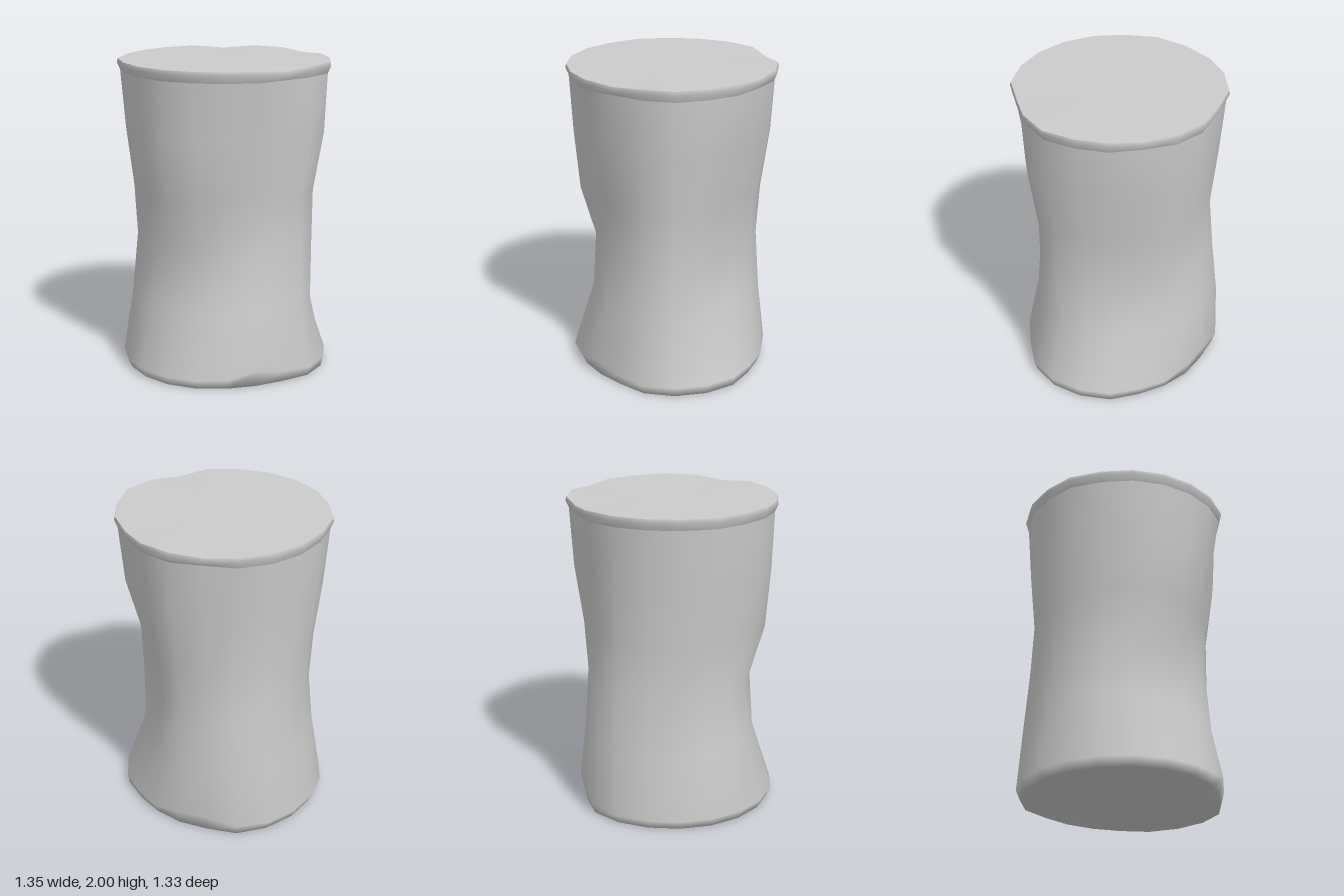
import * as THREE from 'three';

const SIDES = 20;
const material = new THREE.MeshStandardMaterial({ color: 0xcccccc });

// Radii at eight compass directions, from +x turning towards +z, for each height of the dented wall
const wallLevels = [
  [0, [0.65, 0.585, 0.635, 0.65, 0.65, 0.655, 0.59, 0.64]],
  [0.06, [0.665, 0.615, 0.663, 0.675, 0.68, 0.677, 0.615, 0.65]],
  [0.47, [0.587, 0.54, 0.525, 0.61, 0.607, 0.665, 0.557, 0.485]],
  [0.86, [0.585, 0.495, 0.502, 0.56, 0.592, 0.622, 0.537, 0.49]],
  [1.18, [0.588, 0.515, 0.602, 0.585, 0.607, 0.594, 0.567, 0.51]],
  [1.56, [0.647, 0.58, 0.633, 0.637, 0.642, 0.632, 0.628, 0.61]],
];

// Vertical creases that run the full height of the wall
const creases = { 2: 0.015, 14: 0.022, 17: 0.015 };

// The wall's lower edge is kinked upwards at two dents
const kinks = { 2: 0.015, 3: 0.05, 4: 0.005, 13: 0.01, 14: 0.05, 15: 0.04 };

// Rim radius at every side, with a few pushed-in corners
const rimRadii = [
  0.683, 0.658, 0.628, 0.661, 0.661, 0.665, 0.671, 0.675, 0.675, 0.69,
  0.68, 0.682, 0.683, 0.682, 0.649, 0.673, 0.672, 0.647, 0.664, 0.666,
];
const rimDips = { 2: 0.015, 14: 0.015, 17: 0.012 };

const angleOf = (i) => THREE.MathUtils.degToRad(-9 + (i * 360) / SIDES);

// Smooth periodic interpolation between the eight compass radii
function radiusAt(radii, angle) {
  const t = (angle / (Math.PI * 2)) * 8 + 8;
  const k = Math.floor(t), f = t - k;
  const [a, b, c, d] = [-1, 0, 1, 2].map((o) => radii[(k + o + 8) % 8]);
  return b + 0.5 * f * (c - a + f * (2 * a - 5 * b + 4 * c - d + f * (3 * (b - c) + d - a)));
}

function ring(radius, height) {
  return Array.from({ length: SIDES }, (_, i) => {
    const a = angleOf(i), r = radius(i, a);
    return new THREE.Vector3(r * Math.cos(a), height(i), r * Math.sin(a));
  });
}

function makeMesh(name, points, index) {
  const geometry = new THREE.BufferGeometry().setFromPoints(points);
  geometry.setIndex(index);
  geometry.computeVertexNormals();
  const mesh = new THREE.Mesh(geometry, material);
  mesh.name = name;
  return mesh;
}

// Triangles of a closed band through rings listed from bottom to top
function bandIndex(count) {
  const index = [];
  for (let l = 0; l < count - 1; l++) {
    for (let i = 0; i < SIDES; i++) {
      const j = (i + 1) % SIDES;
      const a = l * SIDES + i, b = l * SIDES + j;
      index.push(a, a + SIDES, b, b, a + SIDES, b + SIDES);
    }
  }
  return index;
}

// Triangles of a disc filling the first ring, facing up or down
function discIndex(center, up) {
  const index = [];
  for (let i = 0; i < SIDES; i++) {
    const j = (i + 1) % SIDES;
    index.push(center, up ? j : i, up ? i : j);
  }
  return index;
}

export function createModel() {
  const group = new THREE.Group();
  group.name = 'dentedCan';

  // Crumpled wall, running smoothly over the lower bevel into the flat base
  const shoulder = ring((i) => rimRadii[i] - 0.02, () => 1.93);
  const rings = wallLevels.map(([y, radii], l) =>
    ring((i, a) => radiusAt(radii, a) - (creases[i] || 0), (i) => y + (l === 1 ? kinks[i] || 0 : 0)));
  rings.push(shoulder);
  const bodyIndex = [...bandIndex(rings.length), ...discIndex(rings.length * SIDES, false)];
  group.add(makeMesh('wallAndBase', [...rings.flat(), new THREE.Vector3()], bodyIndex));

  // Flared rim and the flat top
  const dip = (i) => rimDips[i] || 0;
  const flare = ring((i) => rimRadii[i], (i) => 1.975 - dip(i));
  const edge = ring((i) => rimRadii[i] - 0.006, (i) => 2 - dip(i));
  group.add(makeMesh('rim', [shoulder, flare, edge].flat(), bandIndex(3)));
  group.add(makeMesh('top', [...edge, new THREE.Vector3(0, 2, 0)], discIndex(SIDES, true)));

  return group;
}
